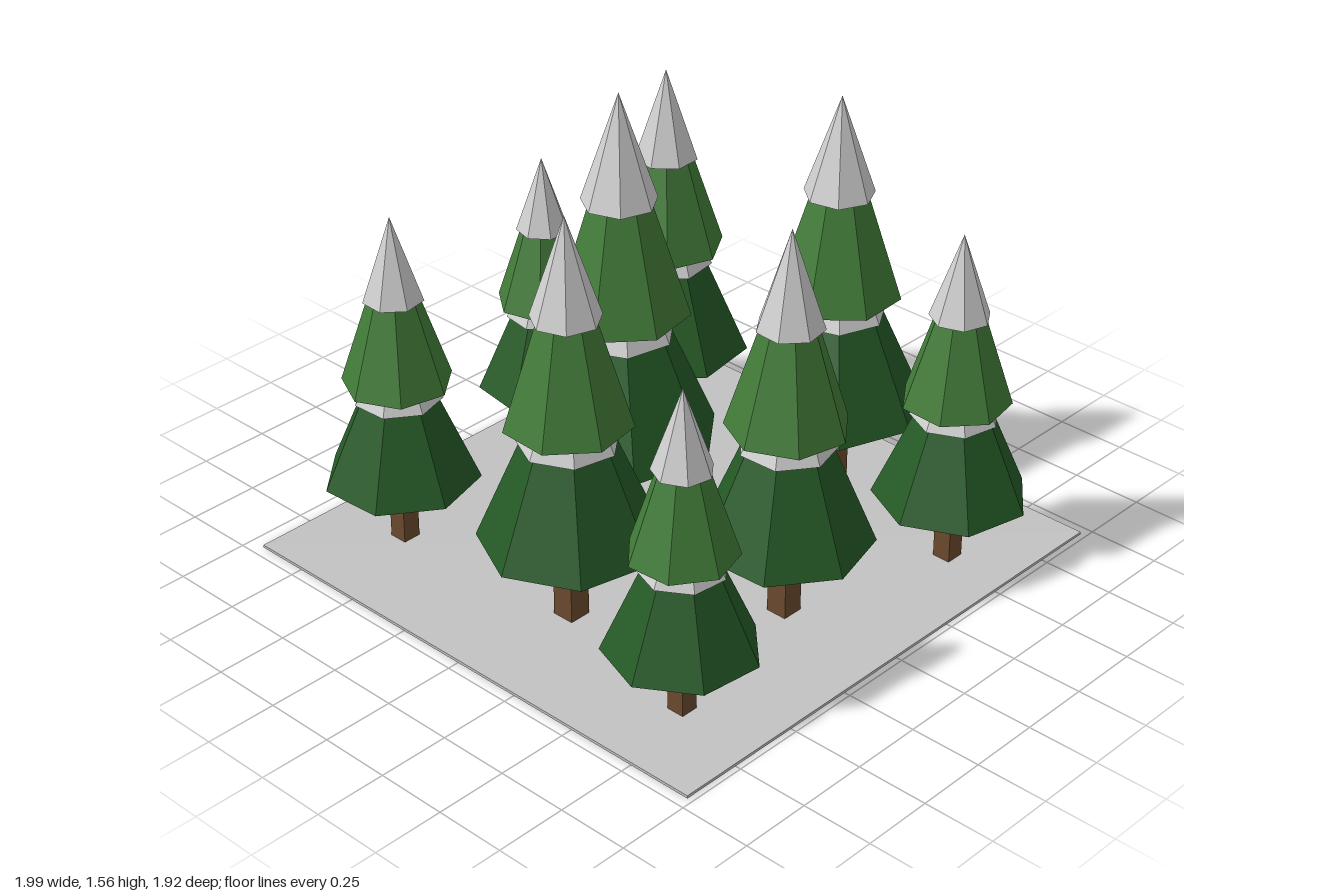
import * as THREE from 'three';

const mat = (name, color) => {
  const m = new THREE.MeshStandardMaterial({ color });
  m.name = name;
  return m;
};

// Facet a geometry so every side is flat
function faceted(geometry) {
  const g = geometry.toNonIndexed();
  g.computeVertexNormals();
  return g;
}

export function createModel() {
  const snow = mat('snow', 0xd0d0d0);
  const groundGrey = mat('groundGrey', 0xc2c2c2);
  const lightGreen = mat('lightGreen', 0x427c39);
  const darkGreen = mat('darkGreen', 0x255a26);
  const bark = mat('bark', 0x6b4a2f);
  const SIDES = 7;
  const GROUND = 0.01;

  const model = new THREE.Group();
  model.name = 'snowyForest';

  const add = (parent, name, geometry, material, y) => {
    const mesh = new THREE.Mesh(geometry, material);
    mesh.name = name;
    mesh.position.y = y;
    parent.add(mesh);
    return mesh;
  };

  // Thin square ground plate
  add(model, 'ground', new THREE.BoxGeometry(1.92, GROUND, 1.92), groundGrey, GROUND / 2).position.x = 0.02;

  // Cone tiers: name, material, base and tip as fractions of height, radius fraction, twist
  const tiers = [
    ['lowerBranches', darkGreen, 0.2, 0.7, 1, 0],
    ['lowerSnow', snow, 0.45, 0.72, 0.56, 0],
    ['upperBranches', lightGreen, 0.5, 0.97, 0.7, 0.4],
    ['snowCap', snow, 0.755, 1, 0.385, 0.8],
  ];

  function tree(x, z, top, radius, degrees) {
    const h = top - GROUND;
    const group = new THREE.Group();
    group.name = 'tree';
    group.position.set(x, GROUND, z);

    const trunkHeight = 0.26 * h;
    const w = 0.055 * h;
    add(group, 'trunk', new THREE.BoxGeometry(w, trunkHeight, w), bark, trunkHeight / 2 - 0.003);

    for (const [name, material, base, tip, r, twist] of tiers) {
      const height = (tip - base) * h;
      const cone = faceted(new THREE.ConeGeometry(radius * r, height, SIDES));
      add(group, name, cone, material, base * h + height / 2)
        .rotation.y = THREE.MathUtils.degToRad(degrees) + twist;
    }
    model.add(group);
  }

  // x, z, top height, branch radius, turn in degrees
  const trees = [
    [-0.585, -0.605, 1.325, 0.288, 21.5],
    [0.136, -0.665, 1.44, 0.313, 44.5],
    [0.74, -0.55, 1.2, 0.26, 0],
    [-0.762, -0.185, 1.085, 0.236, 17],
    [-0.222, -0.005, 1.56, 0.332, 0],
    [0.557, 0.055, 1.385, 0.288, 28],
    [-0.644, 0.595, 1.2, 0.262, 28.5],
    [0.077, 0.535, 1.44, 0.3, 0],
    [0.678, 0.66, 1.145, 0.252, 6.5],
  ];
  trees.forEach((t) => tree(...t));

  return model;
}
